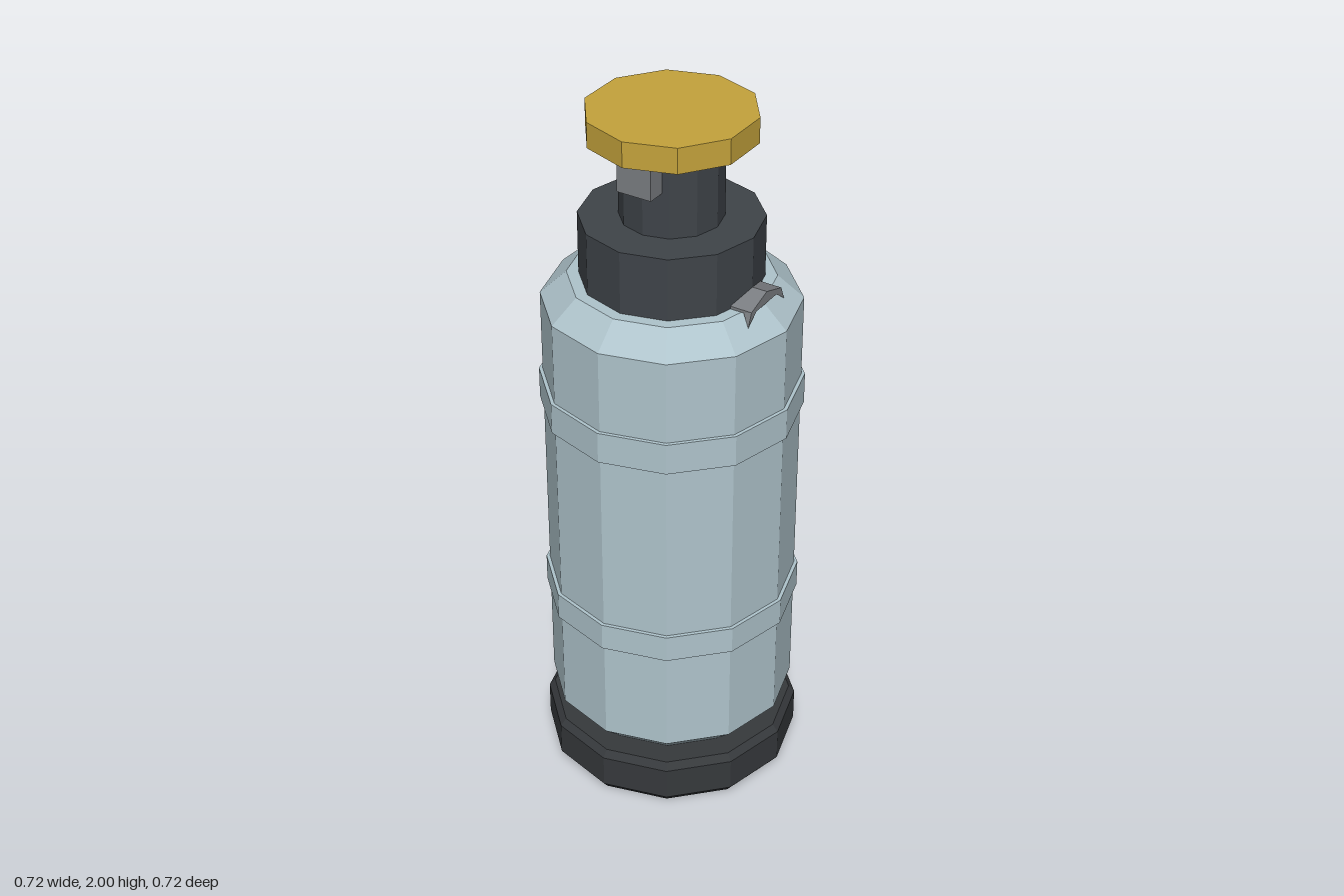
import * as THREE from 'three';

const mat = (name, color, extra = {}) => {
  const m = new THREE.MeshStandardMaterial({ color, flatShading: true, ...extra });
  m.name = name;
  return m;
};

export function createModel() {
  const model = new THREE.Group();
  model.name = 'canister';

  const paleBlue = mat('pale blue paint', 0xafc4cc);
  const charcoal = mat('charcoal', 0x3f4449);
  const rubber = mat('black rubber', 0x36393c);
  const brass = mat('brass', 0xc4a33c);
  const steel = mat('grey steel', 0x7b7e82, { side: THREE.DoubleSide });

  const add = (name, geometry, material) => {
    const mesh = new THREE.Mesh(geometry, material);
    mesh.name = name;
    model.add(mesh);
    return mesh;
  };

  // Faceted turned part from [radius, height] pairs, bottom to top
  const turned = (name, profile, material, sides = 12) =>
    add(name, new THREE.LatheGeometry(profile.map(([r, y]) => new THREE.Vector2(r, y)), sides), material);

  // Straight prism between two heights
  const prism = (name, r, y0, y1, material, sides = 12) =>
    turned(name, [[0, y0], [r, y0], [r, y1], [0, y1]], material, sides);

  // Bevelled foot
  turned('base', [[0, 0], [0.345, 0], [0.362, 0.022], [0.362, 0.12], [0.345, 0.14], [0, 0.14]], rubber);

  // Tank with chamfered ends
  turned('tank', [[0, 0.14], [0.275, 0.14], [0.346, 0.21], [0.346, 1.465], [0.275, 1.53], [0, 1.53]], paleBlue);

  // Raised bands round the tank
  prism('lowerBand', 0.356, 0.52, 0.6, paleBlue);
  prism('upperBand', 0.356, 1.14, 1.23, paleBlue);

  // Collar, neck and ten-sided cap
  prism('collar', 0.243, 1.52, 1.705, charcoal);
  prism('neck', 0.137, 1.7, 1.915, charcoal);
  prism('cap', 0.225, 1.93, 2.0, brass, 10);

  // Lugs on the front and back of the neck
  for (const [name, side] of [['frontLug', 1], ['backLug', -1]]) {
    add(name, new THREE.BoxGeometry(0.1, 0.1, 0.09), steel).position.set(0, 1.88, side * 0.13);
  }

  // Peaked spout with flared tips, lofted outwards along x
  const sections = [[0.2, 0.075, 1.53], [0.262, 0.075, 1.53], [0.285, 0.09, 1.5]].map(([x, tipZ, tipY]) => {
    const half = [[0.075, 1.538], [tipZ, tipY], [0.05, 1.53]];
    const ring = [[0, 1.563], ...half, ...half.map(([z, y]) => [-z, y]).reverse()];
    return ring.map(([z, y]) => [x, y, z]);
  });
  const n = sections[0].length;
  const index = [];
  for (let s = 0; s < sections.length - 1; s++) {
    for (let i = 0; i < n; i++) {
      const a = s * n + i, b = s * n + (i + 1) % n;
      index.push(a, a + n, b, b, a + n, b + n);
    }
  }
  // End face
  const shape = sections[2].map(([, y, z]) => new THREE.Vector2(z, y));
  for (const [a, b, c] of THREE.ShapeUtils.triangulateShape(shape, [])) {
    index.push(2 * n + a, 2 * n + c, 2 * n + b);
  }
  const spout = new THREE.BufferGeometry();
  spout.setAttribute('position', new THREE.Float32BufferAttribute(sections.flat(2), 3));
  spout.setIndex(index);
  spout.computeVertexNormals();
  add('spout', spout, steel);

  return model;
}
